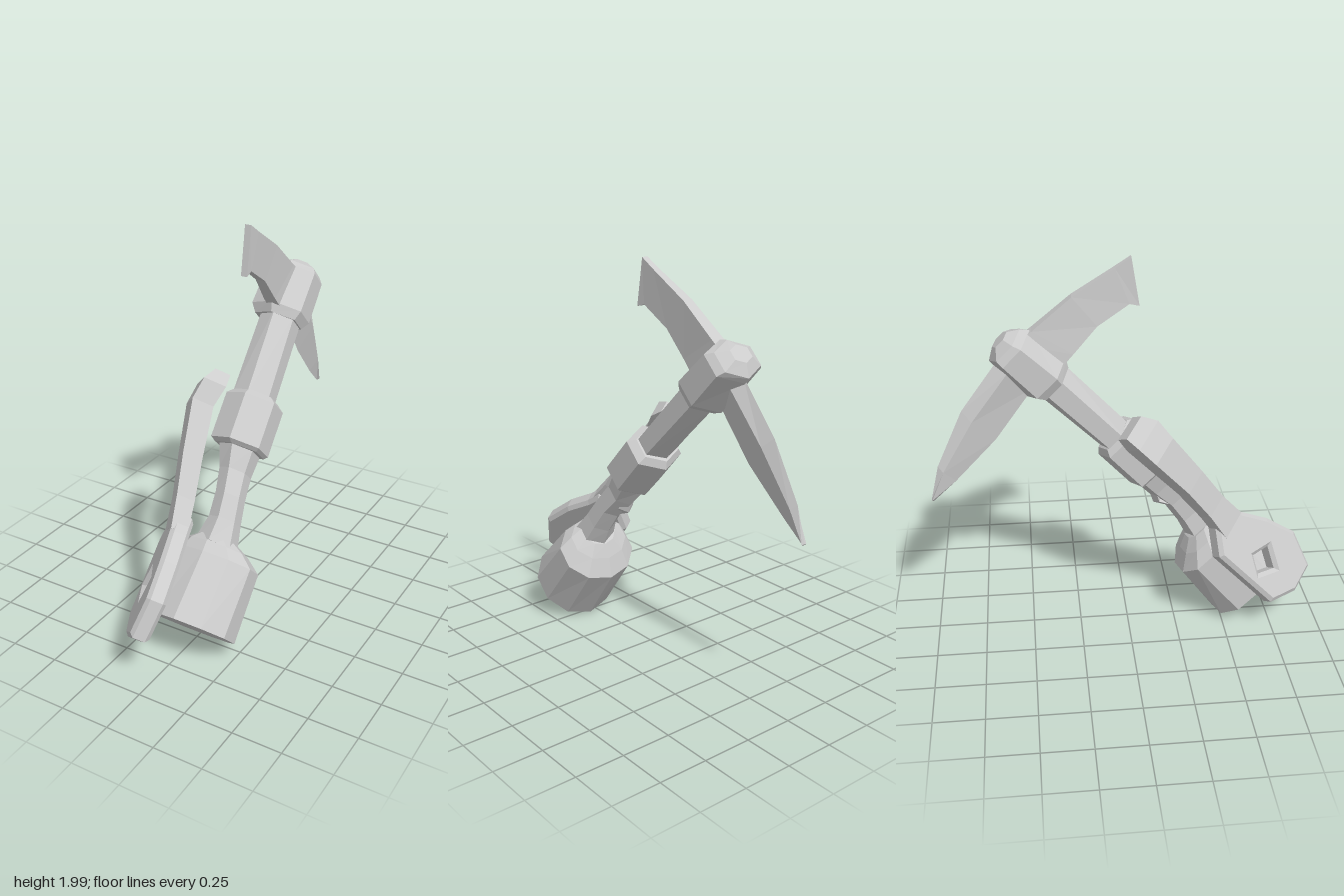
import * as THREE from 'three';

const material = new THREE.MeshStandardMaterial({ color: 0xcccccc, flatShading: true });

// Skin a list of equal-length point rings and close both ends.
function loft(name, rings) {
  const pos = [];
  const tri = (...pts) => pts.forEach((p) => pos.push(...p));
  const n = rings[0].length;
  const middle = (ring) => [0, 1, 2].map((k) => ring.reduce((sum, p) => sum + p[k], 0) / n);
  const first = rings[0], last = rings[rings.length - 1];
  const start = middle(first), end = middle(last);
  for (let i = 0; i < n; i++) {
    const j = (i + 1) % n;
    for (let r = 0; r < rings.length - 1; r++) {
      const a = rings[r], b = rings[r + 1];
      tri(a[i], a[j], b[j]);
      tri(a[i], b[j], b[i]);
    }
    tri(start, first[j], first[i]);
    tri(end, last[i], last[j]);
  }
  const geometry = new THREE.BufferGeometry();
  geometry.setAttribute('position', new THREE.Float32BufferAttribute(pos, 3));
  geometry.computeVertexNormals();
  const mesh = new THREE.Mesh(geometry, material);
  mesh.name = name;
  return mesh;
}

// Faceted column along y; each section is [y, centreX, centreZ, radiusX, radiusZ].
function column(name, sides, sections) {
  return loft(name, sections.map(([y, cx, cz, rx, rz]) =>
    Array.from({ length: sides }, (_, i) => {
      const a = (i / sides) * Math.PI * 2;
      return [cx + rx * Math.sin(a), y, cz + rz * Math.cos(a)];
    })));
}

// Four-cornered section of the flat adze, running along z.
const slab = ([top, zTop, bottom, zBottom, x, h]) => [
  [x + h, bottom, zBottom], [x + h, top, zTop], [x - h, top, zTop], [x - h, bottom, zBottom],
];

// Ridged section of the spike, with the ridge nearer its upper edge.
const ridged = ([top, bottom, z, x, h]) => {
  const ridge = top * 0.7 + bottom * 0.3;
  return [[x + h, ridge, z], [x, top, z], [x - h, ridge, z], [x, bottom, z]];
};

function createLever() {
  const lever = new THREE.Group();
  lever.name = 'sideLever';

  // Broad thick plate with a hole
  const outline = [[-0.175, -0.375], [-0.04, -0.475], [0.12, -0.475], [0.21, -0.29],
    [0.165, -0.1], [0.1, 0.05], [0.075, 0.14], [-0.055, 0.14], [-0.165, 0.03]];
  const hole = [[-0.1, -0.22], [-0.04, -0.14], [0.05, -0.19], [-0.02, -0.29]];
  const toPoints = (list) => list.map(([x, y]) => new THREE.Vector2(x, y));
  const shape = new THREE.Shape(toPoints(outline));
  shape.holes.push(new THREE.Path(toPoints(hole)));
  const geometry = new THREE.ExtrudeGeometry(shape, {
    depth: 0.06, bevelEnabled: true, bevelSegments: 1,
    bevelThickness: 0.018, bevelSize: 0.02, bevelOffset: -0.02,
  });
  geometry.translate(0, 0, -0.037);
  const plate = new THREE.Mesh(geometry, material);
  plate.name = 'leverPlate';
  lever.add(plate);

  // Bent arm: [y, x, z, half width, half thickness]
  const arm = [
    [0.06, 0.01, 0.0, 0.08, 0.042],
    [0.22, 0.015, 0.028, 0.065, 0.046],
    [0.42, 0.02, 0.074, 0.068, 0.05],
    [0.68, 0.015, 0.125, 0.08, 0.055],
    [0.79, 0.03, 0.11, 0.088, 0.058],
    [0.86, 0.025, 0.09, 0.068, 0.04],
  ];
  lever.add(loft('leverArm', arm.map(([y, x, z, w, h]) => [
    [x - w, y, z + h], [x + w, y, z + h], [x + w, y, z - h], [x - w, y, z - h],
  ])));

  lever.position.set(-0.1, 0, 0.78);
  lever.rotation.y = -Math.atan2(0.8, 0.6);
  return lever;
}

export function createModel() {
  const model = new THREE.Group();
  model.name = 'pickaxe';

  // Everything is built upright and then tipped back
  const tool = new THREE.Group();
  tool.name = 'tiltedTool';
  tool.rotation.x = -Math.PI / 4;
  model.add(tool);

  // Heavy pommel
  tool.add(column('pommel', 10, [
    [-0.325, 0.05, 0.552, 0.222, 0.215],
    [0.02, 0.055, 0.57, 0.22, 0.18],
    [0.075, 0.05, 0.61, 0.165, 0.13],
    [0.11, 0.055, 0.64, 0.1, 0.09],
  ]));

  // Curved grip with a small finger stop
  tool.add(column('grip', 6, [
    [0.08, 0.06, 0.645, 0.11, 0.1],
    [0.2, 0.065, 0.665, 0.082, 0.082],
    [0.32, 0.055, 0.685, 0.076, 0.078],
    [0.44, 0.035, 0.69, 0.082, 0.085],
    [0.56, 0.02, 0.71, 0.11, 0.1],
  ]));
  tool.add(column('fingerStop', 4, [
    [0.31, 0.04, 0.65, 0.04, 0.03],
    [0.39, 0.03, 0.62, 0.045, 0.035],
    [0.46, 0.03, 0.66, 0.05, 0.04],
  ]));

  // Collar, shaft and head block
  tool.add(column('collar', 6, [
    [0.55, 0.02, 0.71, 0.135, 0.11],
    [0.565, 0.02, 0.72, 0.155, 0.13],
    [0.8, 0.015, 0.73, 0.155, 0.13],
    [0.83, 0.01, 0.73, 0.12, 0.1],
  ]));
  tool.add(column('shaft', 6, [
    [0.8, 0.005, 0.735, 0.115, 0.088],
    [1.28, -0.015, 0.745, 0.105, 0.098],
  ]));
  tool.add(column('headBlock', 6, [
    [1.245, -0.025, 0.742, 0.13, 0.105],
    [1.29, -0.028, 0.742, 0.16, 0.133],
    [1.51, -0.032, 0.742, 0.155, 0.12],
    [1.545, -0.032, 0.73, 0.125, 0.105],
    [1.58, -0.032, 0.735, 0.06, 0.05],
  ]));

  // Flat adze with a hooked end
  tool.add(loft('adze', [
    [1.52, 0.78, 1.28, 0.8, -0.03, 0.04],
    [1.505, 0.87, 1.285, 0.92, -0.025, 0.034],
    [1.478, 1.11, 1.292, 1.09, -0.01, 0.026],
    [1.42, 1.34, 1.25, 1.265, 0.01, 0.018],
    [1.4, 1.428, 1.207, 1.289, 0.016, 0.016],
  ].map(slab)));

  // Long curved spike
  tool.add(loft('spike', [
    [1.28, 1.265, -0.09, -0.09, 0.014],
    [1.372, 1.255, 0.062, -0.08, 0.022],
    [1.476, 1.255, 0.35, -0.055, 0.034],
    [1.52, 1.3, 0.66, -0.035, 0.045],
  ].map(ridged)));

  tool.add(createLever());
  return model;
}
